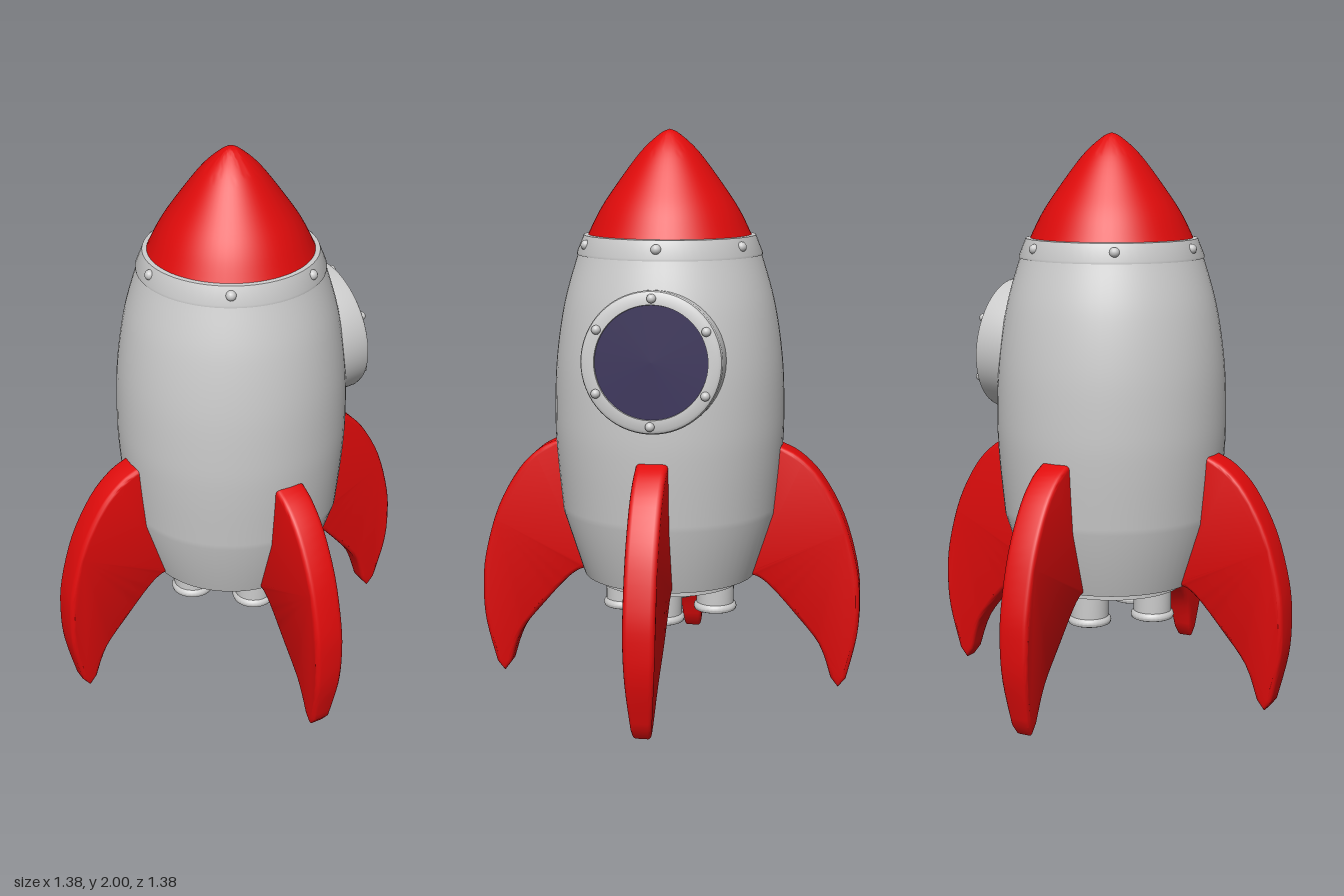
import * as THREE from 'three';
import { toCreasedNormals } from 'three/addons/utils/BufferGeometryUtils.js';

const paint = (color) => new THREE.MeshStandardMaterial({ color, side: THREE.DoubleSide });
const grey = paint(0xcccccc);
const red = paint(0xe00b0b);
const navy = paint(0x2a1f50);

const vec = (points) => points.map(([x, y]) => new THREE.Vector2(x, y));
const smooth = (points, n) => new THREE.SplineCurve(vec(points)).getPoints(n);

function add(parent, name, geometry, material) {
  const mesh = new THREE.Mesh(geometry, material);
  mesh.name = name;
  parent.add(mesh);
  return mesh;
}

// Surface of revolution, sharp only at real corners
const turned = (points, segments = 64) =>
  toCreasedNormals(new THREE.LatheGeometry(points, segments), 0.6);

// Ring of small domed rivets around the y axis
function rivetRing(parent, radius, y, size, start) {
  const geometry = new THREE.SphereGeometry(size, 14, 10);
  for (let i = 0; i < 6; i++) {
    const a = start + (i * Math.PI) / 3;
    add(parent, 'rivet', geometry, grey).position.set(Math.cos(a) * radius, y, Math.sin(a) * radius);
  }
}

// Curved fin blade with bevelled edges, thinner towards its foot
function finGeometry() {
  const outer = smooth([[0.4, 0.895], [0.47, 0.86], [0.55, 0.78], [0.63, 0.635], [0.68, 0.46],
    [0.692, 0.33], [0.685, 0.2], [0.648, 0.04]], 28);
  const inner = smooth([[0.593, 0.04], [0.55, 0.165], [0.46, 0.28], [0.38, 0.37], [0.33, 0.41], [0.29, 0.42]], 20);
  const shape = new THREE.Shape([...outer, new THREE.Vector2(0.62, 0.004), ...inner,
    new THREE.Vector2(0.33, 0.65), new THREE.Vector2(0.35, 0.895)]);
  const geometry = new THREE.ExtrudeGeometry(shape, {
    depth: 0.074, bevelThickness: 0.018, bevelSize: 0.014, bevelOffset: -0.014, bevelSegments: 3,
  });
  geometry.translate(0, 0, -0.037);
  const p = geometry.attributes.position;
  for (let i = 0; i < p.count; i++) {
    const t = THREE.MathUtils.clamp(p.getY(i) / 0.4, 0, 1);
    p.setZ(i, p.getZ(i) * (0.58 + 0.42 * Math.sin((t * Math.PI) / 2)));
  }
  return toCreasedNormals(geometry, 0.6);
}

export function createModel() {
  const rocket = new THREE.Group();
  rocket.name = 'rocket';

  // Hull with flat underside
  const side = smooth([[0.385, 0.65], [0.404, 0.85], [0.41, 1.0], [0.402, 1.2], [0.372, 1.4], [0.322, 1.575]], 32);
  add(rocket, 'hull', turned([...vec([[0, 0.415], [0.31, 0.415]]), ...side]), grey);

  // Riveted collar and nose cone
  add(rocket, 'collar', turned(vec([[0.31, 1.567], [0.327, 1.567], [0.327, 1.575], [0.303, 1.635], [0.28, 1.637]])), grey);
  rivetRing(rocket, 0.312, 1.605, 0.018, 0);
  add(rocket, 'noseCone', turned(smooth([[0.29, 1.63], [0.25, 1.712], [0.2, 1.79], [0.105, 1.918], [0.035, 1.983], [0, 2]], 30)), red);

  // Porthole on the left side, tilted slightly upward
  const porthole = new THREE.Group();
  porthole.name = 'porthole';
  porthole.position.set(0.427, 1.24, 0);
  porthole.rotation.z = 0.083 - Math.PI / 2;
  rocket.add(porthole);
  add(porthole, 'portholeFrame', turned(vec([[0.24, -0.13], [0.24, -0.018], [0.236, -0.006], [0.226, 0],
    [0.192, 0], [0.19, -0.02]])), grey);
  add(porthole, 'portholeGlass', new THREE.CylinderGeometry(0.191, 0.191, 0.02, 64), navy).position.y = -0.02;
  rivetRing(porthole, 0.213, 0.002, 0.016, 0);

  // Four fins
  const fin = finGeometry();
  for (let i = 0; i < 4; i++) add(rocket, 'fin', fin, red).rotation.y = (i * Math.PI) / 2;

  // Engine plate and four hollow nozzles
  add(rocket, 'enginePlate', new THREE.CylinderGeometry(0.258, 0.258, 0.04, 64), grey).position.y = 0.406;
  const nozzle = turned(vec([[0.068, 0.4], [0.068, 0.302], [0.075, 0.296], [0.078, 0.286], [0.075, 0.276],
    [0.068, 0.273], [0.058, 0.276], [0.055, 0.3], [0.055, 0.35], [0, 0.35]]), 32);
  for (let i = 0; i < 4; i++) {
    const a = (i * Math.PI) / 2;
    add(rocket, 'nozzle', nozzle, grey).position.set(Math.cos(a) * 0.167, 0, Math.sin(a) * 0.167);
  }
  return rocket;
}
